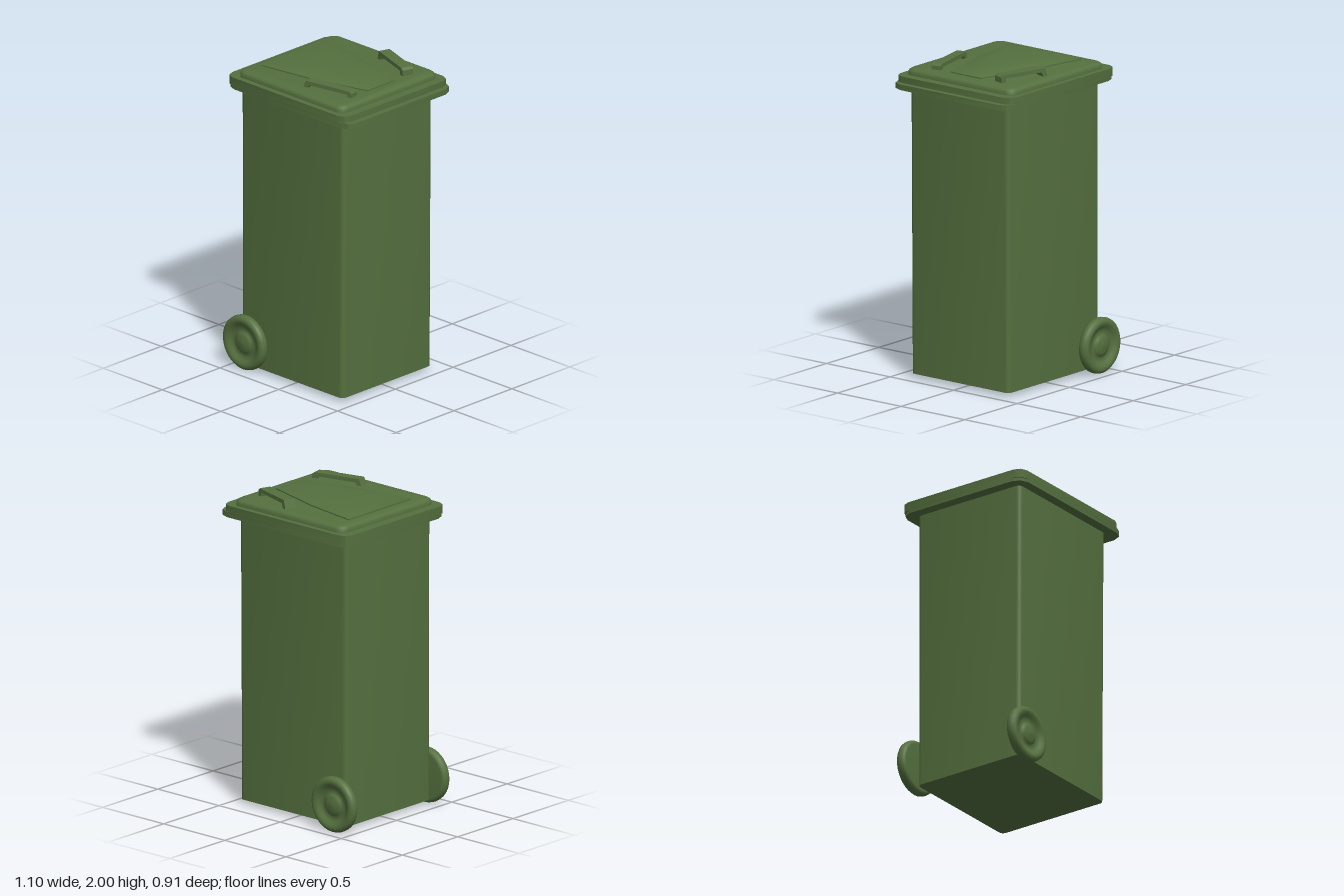
import * as THREE from 'three';
import { toCreasedNormals } from 'three/addons/utils/BufferGeometryUtils.js';

const green = new THREE.MeshStandardMaterial({ color: 0x55703f, side: THREE.DoubleSide });

function part(name, geometry, parent) {
  const mesh = new THREE.Mesh(geometry, green);
  mesh.name = name;
  parent.add(mesh);
  return mesh;
}

// Rectangle in plan (x0..x1, z0..z1) with rounded corners of few or many steps.
function plan(x0, x1, z0, z1, r, steps) {
  const points = [];
  const corners = [[x1 - r, z1 - r], [x0 + r, z1 - r], [x0 + r, z0 + r], [x1 - r, z0 + r]];
  corners.forEach(([cx, cz], i) => {
    for (let k = 0; k <= steps; k++) {
      const a = (i + k / steps) * Math.PI / 2;
      points.push([cx + r * Math.cos(a), cz + r * Math.sin(a)]);
    }
  });
  return points;
}

// Joins rings of [points, y] from bottom to top and caps both ends.
function loft(rings, crease) {
  const n = rings[0][0].length, positions = [], index = [];
  for (const [points, y] of rings) for (const [x, z] of points) positions.push(x, y, z);
  for (let r = 0; r < rings.length - 1; r++) {
    for (let i = 0; i < n; i++) {
      const a = r * n + i, b = r * n + (i + 1) % n;
      index.push(a, a + n, b, b, a + n, b + n);
    }
  }
  const top = (rings.length - 1) * n;
  for (let i = 1; i < n - 1; i++) {
    index.push(0, i, i + 1);
    index.push(top, top + i + 1, top + i);
  }
  const geometry = new THREE.BufferGeometry();
  geometry.setAttribute('position', new THREE.Float32BufferAttribute(positions, 3));
  geometry.setIndex(index);
  return toCreasedNormals(geometry, crease);
}

export function createModel() {
  const bin = new THREE.Group();
  bin.name = 'wheeledBin';

  // Tall body, slightly narrower at the foot of its +x side
  part('body', loft([
    [plan(-0.43, 0.435, -0.38, 0.39, 0.03, 4), 0.03],
    [plan(-0.43, 0.445, -0.38, 0.392, 0.03, 4), 1.85],
  ], 0.6), bin);

  // Stepped rim with clipped corners
  part('lowerRim', loft([1.83, 1.865].map(y =>
    [plan(-0.5, 0.55, -0.458, 0.455, 0.075, 2), y]), 0.5), bin);
  part('upperRim', loft([1.85, 1.905].map(y =>
    [plan(-0.5, 0.515, -0.458, 0.455, 0.06, 2), y]), 0.5), bin);

  // Lid with a softly rounded edge
  const lidRings = [[0, 1.9], [0, 1.925], [0.006, 1.935], [0.018, 1.943], [0.04, 1.947]];
  part('lid', loft(lidRings.map(([d, y]) =>
    [plan(-0.44 + d, 0.46 - d, -0.425 + d, 0.42 - d, 0.06 - d * 0.5, 5), y]), 0.9), bin);

  // Tapering raised panel on the lid
  const outline = [[0.38, 0.12], [0, 0.22], [-0.37, 0.275], [-0.37, -0.29], [0, -0.225], [0.38, -0.115]];
  const panelRings = [[1, 1.94], [1, 1.955], [0.8, 1.972], [0.45, 1.98]];
  part('lidPanel', loft(panelRings.map(([s, y]) =>
    [outline.map(([x, z]) => [x * s, z * s]), y]), 0.8), bin);

  // Two angled bracket handles: x, z, length, width, top, direction
  const handles = [
    ['backHandle', 0.21, -0.294, 0.333, 0.073, 2.0, 0.105 / 0.315],
    ['frontHandle', 0.211, 0.27, 0.35, 0.062, 1.99, -0.07 / 0.34],
  ];
  for (const [name, x, z, length, width, top, slope] of handles) {
    const h = length / 2, rise = top - 1.94;
    const side = new THREE.Shape([
      [-h, 0], [-h + 0.02, rise], [h - 0.015, rise - 0.005], [h, rise - 0.018], [h, 0],
      [h - 0.03, 0], [h - 0.035, rise - 0.028], [-h + 0.045, rise - 0.025], [-h + 0.03, 0],
    ].map(p => new THREE.Vector2(...p)));
    const geometry = new THREE.ExtrudeGeometry(side, { depth: width, bevelEnabled: false });
    geometry.translate(0, 0, -width / 2);
    const handle = part(name, geometry, bin);
    handle.position.set(x, 1.94, z);
    handle.rotation.y = -Math.atan(slope);
  }

  // Wheels: rounded tyre, dished face and domed hub, turned about z
  const wheelProfile = [
    [0, 0], [0.15, 0], [0.165, 0.006], [0.173, 0.018], [0.175, 0.035], [0.171, 0.052],
    [0.16, 0.063], [0.145, 0.066], [0.128, 0.062], [0.112, 0.05], [0.095, 0.042],
    [0.072, 0.04], [0.066, 0.05], [0.045, 0.06], [0, 0.065],
  ].map(p => new THREE.Vector2(...p));
  for (const [name, side, z] of [['frontWheel', 1, 0.372], ['backWheel', -1, -0.392]]) {
    const geometry = new THREE.LatheGeometry(wheelProfile, 40);
    geometry.rotateX(side * Math.PI / 2);
    part(name, geometry, bin).position.set(-0.378, 0.176, z);
  }

  return bin;
}
